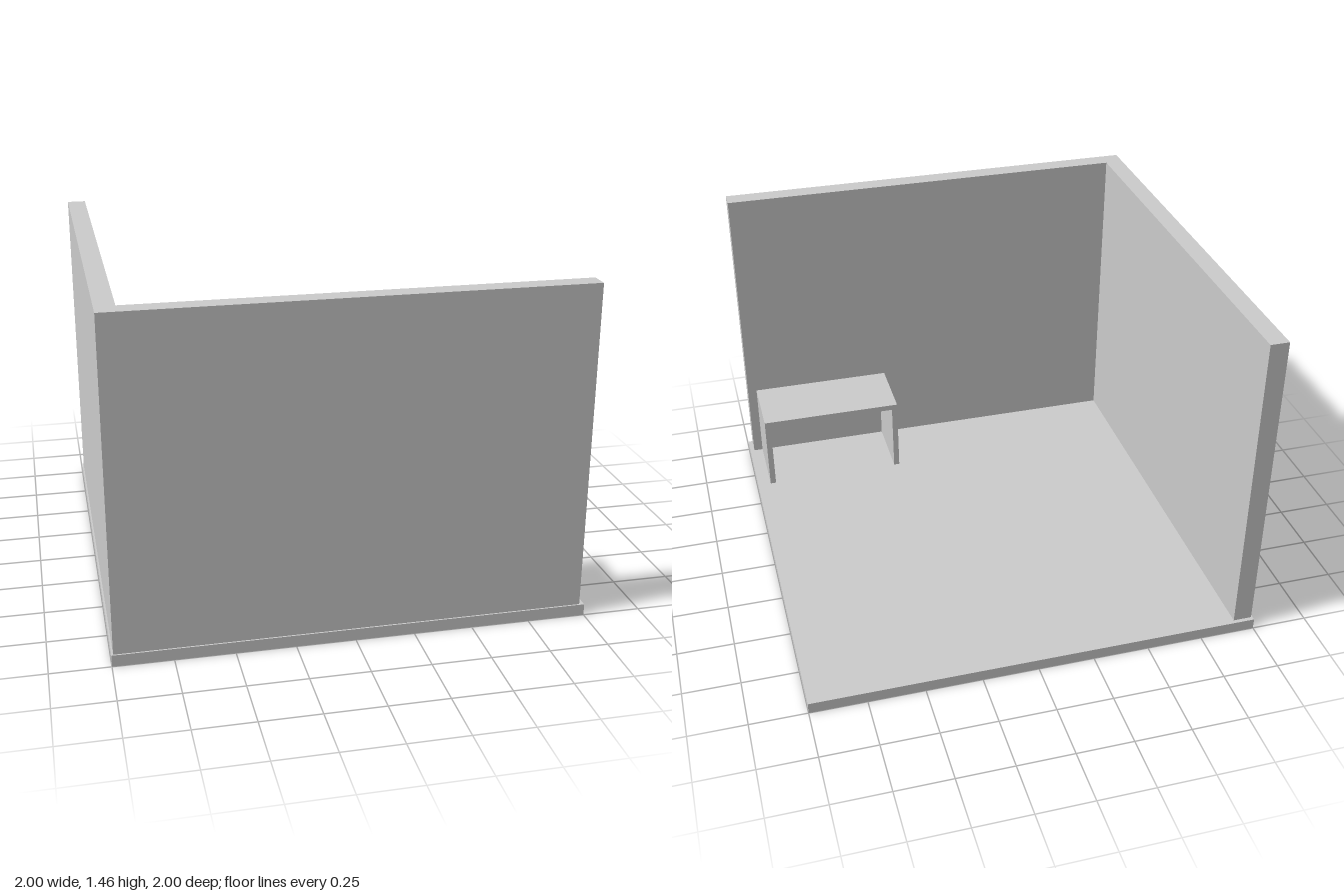
import * as THREE from 'three';

export function createModel() {
  const model = new THREE.Group();
  const grey = new THREE.MeshStandardMaterial({ color: 0xcccccc });
  grey.name = 'plain grey';

  // Box given by its extents along each axis
  function block(name, [x0, x1], [y0, y1], [z0, z1], parent = model) {
    const mesh = new THREE.Mesh(new THREE.BoxGeometry(x1 - x0, y1 - y0, z1 - z0), grey);
    mesh.position.set((x0 + x1) / 2, (y0 + y1) / 2, (z0 + z1) / 2);
    mesh.name = name;
    parent.add(mesh);
  }

  const floorTop = 0.05, wallTop = 1.463, inner = 0.91, outer = 0.993;

  // Floor slab and the two walls meeting in a corner
  block('floor', [-1, 1], [0, floorTop], [-1, 1]);
  block('frontWall', [-outer, 0.98], [floorTop, wallTop], [inner, outer]);
  block('sideWall', [-outer, -inner], [floorTop, wallTop], [-0.982, inner]);

  // Open desk against the front wall: a top on two panel legs
  const desk = new THREE.Group();
  desk.name = 'desk';
  model.add(desk);
  const left = 0.268, right = 0.937, top = 0.415, board = 0.027;
  const depth = [0.59, inner];
  block('deskTop', [left, right], [top - board, top], depth, desk);
  for (const [name, x] of [['deskLegRight', left], ['deskLegLeft', right - board]]) {
    block(name, [x, x + board], [floorTop, top - board], depth, desk);
  }

  return model;
}
